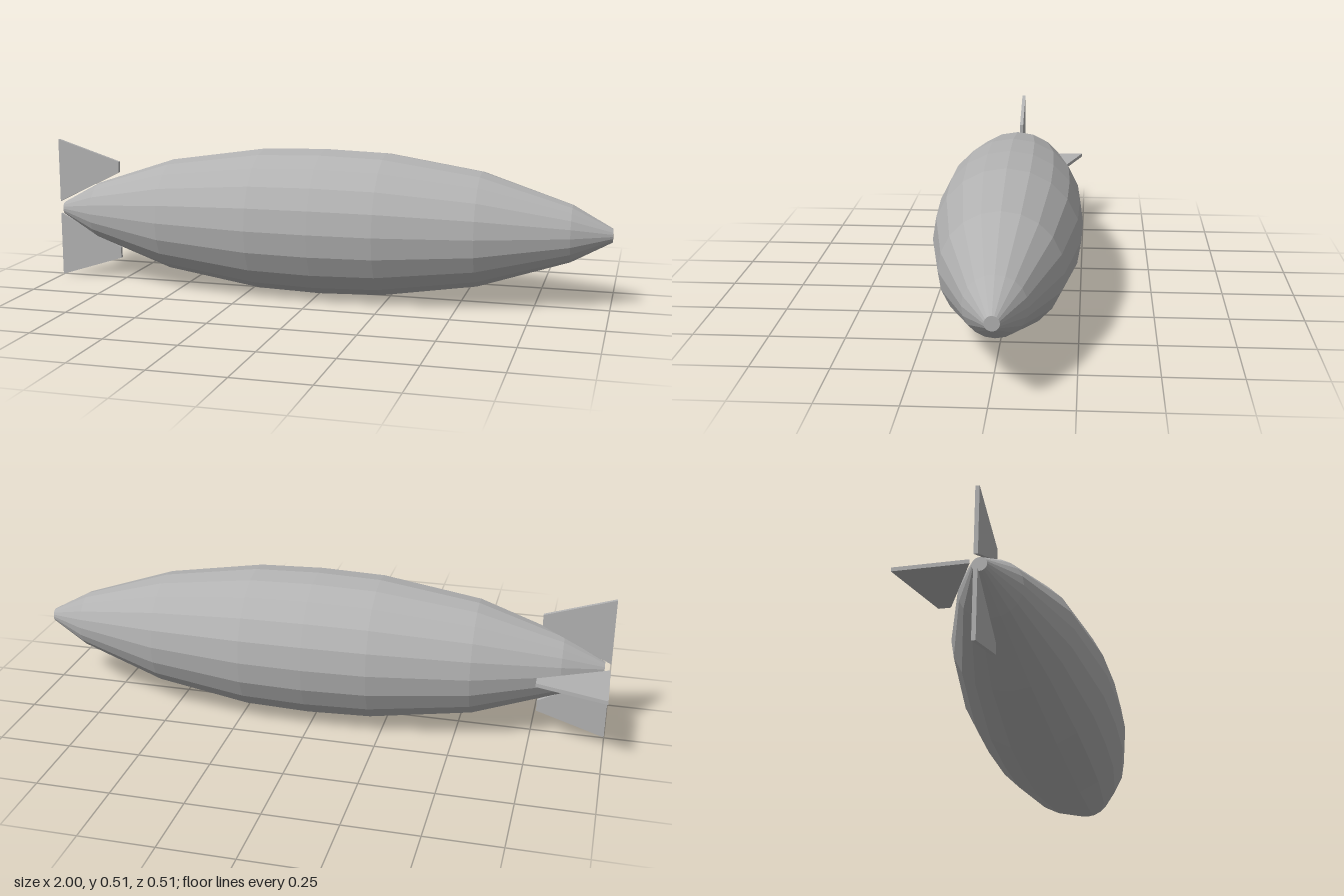
import * as THREE from 'three';

export function createModel() {
  const model = new THREE.Group();
  model.name = 'airship';
  const grey = new THREE.MeshStandardMaterial({ color: 0xb2b2b2, flatShading: true });
  grey.name = 'hull grey';

  // Everything is built along x, then lifted and turned very slightly
  const body = new THREE.Group();
  body.name = 'body';
  body.position.y = 0.257;
  body.rotation.y = 0.013;
  model.add(body);

  // Faceted envelope: [radius, position along x] from tail to nose
  const profile = [
    [0, -0.98], [0.023, -0.98], [0.1, -0.84], [0.197, -0.55], [0.248, -0.21], [0.255, 0.01],
    [0.248, 0.23], [0.197, 0.56], [0.097, 0.865], [0.023, 1], [0, 1],
  ].map(([r, x]) => new THREE.Vector2(r, x));
  const hullGeometry = new THREE.LatheGeometry(profile, 20);
  hullGeometry.rotateZ(-Math.PI / 2);
  const hull = new THREE.Mesh(hullGeometry, grey);
  hull.name = 'hull';
  body.add(hull);

  // Tail fin outline: x along the hull, y outward from its axis
  const outline = new THREE.Shape([
    [-1, 0.023], [-0.765, 0.14], [-0.765, 0.179], [-1, 0.254],
  ].map(([x, y]) => new THREE.Vector2(x, y)));
  const thickness = 0.013;
  const finGeometry = new THREE.ExtrudeGeometry(outline, { depth: thickness, bevelEnabled: false });
  finGeometry.translate(0, 0, -thickness / 2);

  // Three fins: above, below and on the back side only
  const fins = [
    ['upperFin', 0, -0.006],
    ['backFin', -Math.PI / 2, 0],
    ['lowerFin', Math.PI, -0.006],
  ];
  for (const [name, angle, z] of fins) {
    const fin = new THREE.Mesh(finGeometry, grey);
    fin.name = name;
    fin.rotation.x = angle;
    fin.position.z = z;
    body.add(fin);
  }
  return model;
}
